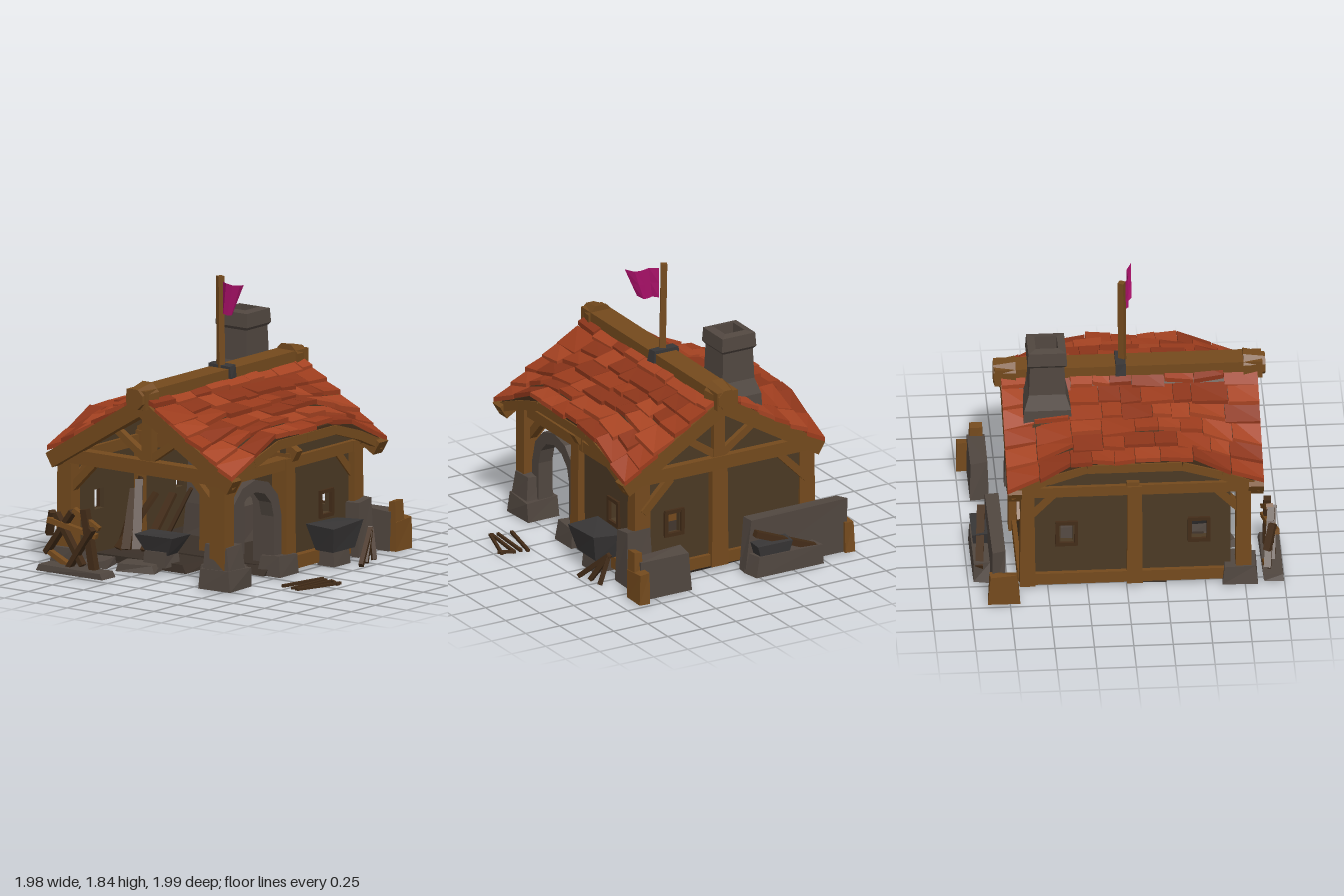
import * as THREE from 'three';

const mat = (color) => new THREE.MeshStandardMaterial({ color, flatShading: true, side: THREE.DoubleSide });
const M = {
  wood: mat(0x744a1d), darkWood: mat(0x432c18), wall: mat(0x4b3924), stone: mat(0x514740),
  iron: mat(0x383636), floor: mat(0x3a3028), flag: mat(0xa81068),
  tiles: [mat(0x9c3c1d), mat(0x8c351a), mat(0xa64322)],
};
let seed = 7;
const rnd = () => ((seed = (seed * 16807) % 2147483647) / 2147483647);
const RIDGE = -0.1;

export function createModel() {
  const root = new THREE.Group();
  const add = (name, geo, material, parent = root) => {
    const m = new THREE.Mesh(geo, material);
    m.name = name;
    parent.add(m);
    return m;
  };
  const group = (name) => {
    const g = new THREE.Group();
    g.name = name;
    root.add(g);
    return g;
  };
  // moves every vertex by a rule
  const warp = (geo, fn) => {
    const p = geo.attributes.position;
    for (let i = 0; i < p.count; i++) p.setXYZ(i, ...fn(p.getX(i), p.getY(i), p.getZ(i)));
    geo.computeVertexNormals();
    return geo;
  };
  // hand-hewn block standing at height y, with its top scaled by taper
  const block = (name, x, y, z, w, h, d, material, taper = 0.9, parent = root, rot = 0) => {
    const off = Array.from({ length: 24 }, () => (rnd() - 0.5) * 0.12);
    const geo = warp(new THREE.BoxGeometry(1, 1, 1), (a, b, c) => {
      const k = ((a > 0 ? 4 : 0) + (b > 0 ? 2 : 0) + (c > 0 ? 1 : 0)) * 3, t = b > 0 ? taper : 1;
      return [(a * t + off[k] * 0.6) * w, (b + 0.5 + (b > 0 ? off[k + 1] : 0)) * h, (c * t + off[k + 2] * 0.6) * d];
    });
    const m = add(name, geo, material, parent);
    m.position.set(x, y, z);
    m.rotation.y = rot;
    return m;
  };
  // squared timber between two points
  const beam = (name, a, b, w, h, material = M.wood, parent = root) => {
    const A = new THREE.Vector3(...a), B = new THREE.Vector3(...b);
    const t = 0.82 + rnd() * 0.25;
    const geo = warp(new THREE.BoxGeometry(w, h, A.distanceTo(B)), (x, y, z) => (z > 0 ? [x * t, y * t, z] : [x, y, z]));
    const m = add(name, geo, material, parent);
    m.position.copy(A).add(B).multiplyScalar(0.5);
    m.lookAt(B);
    return m;
  };
  // flat panel with holes; side panels take z as their first coordinate
  const panel = (name, pts, holes, thick, pos, side, material = M.wall) => {
    const s = new THREE.Shape(pts.map((p) => new THREE.Vector2(...p)));
    holes.forEach((h) => s.holes.push(new THREE.Path(h.map((p) => new THREE.Vector2(...p)))));
    const geo = new THREE.ExtrudeGeometry(s, { depth: thick, bevelEnabled: false });
    if (side) geo.rotateY(-Math.PI / 2);
    add(name, geo, material).position.set(...pos);
  };
  const rect = (x, y, w, h) => [[x, y], [x, y + h], [x + w, y + h], [x + w, y]];
  const arc = (c, y, r, n = 6) => Array.from({ length: n + 1 }, (_, i) => [c + r * Math.cos((Math.PI * i) / n), y + r * Math.sin((Math.PI * i) / n)]);
  const arch = (name, c, y, ro, ri, thick, pos, side) =>
    panel(name, [[c + ro, 0], ...arc(c, y, ro), [c - ro, 0], [c - ri, 0], ...arc(c, y, ri).reverse(), [c + ri, 0]], [], thick, pos, side, M.stone);

  // roof surface: eaves hang low at the gables and lift in the middle
  const roofPoint = (side, s, z, up) => {
    const t = Math.min(1, Math.max(0, (Math.abs(z - 0.05) - 0.38) / 0.4));
    return [RIDGE + side * s * 0.73, 1.2 - (0.265 + 0.195 * t) * Math.pow(s, 0.66 + 0.34 * t) + up, z];
  };
  const roof = group('roof');
  for (const side of [1, -1]) {
    add('roofDeck', warp(new THREE.BoxGeometry(1, 1, 1, 6, 1, 12), (a, b, c) =>
      roofPoint(side, Math.max(0, a + 0.5) * 0.97, 0.055 + c * side * 1.58, b * 0.05 - 0.035)), M.darkWood, roof);
    const rows = 6, cols = 9;
    for (let r = 0; r < rows; r++) {
      let z0 = -0.76;
      const widths = Array.from({ length: cols }, () => 0.6 + rnd() * 0.8);
      const total = widths.reduce((p, q) => p + q);
      widths.forEach((wd) => {
        const dz = (wd / total) * 1.63, zc = z0 + dz / 2, lift = 0.006 + rnd() * 0.024, tilt = (rnd() - 0.5) * 0.04;
        const s1 = (r + 1.1 + (rnd() - 0.5) * 0.4) / rows, s0 = r / rows;
        z0 += dz;
        add('roofTile', warp(new THREE.BoxGeometry(1, 1, 1), (a, b, c) =>
          roofPoint(side, a > 0 ? Math.min(s1, 1.01) + c * side * tilt : s0, zc + c * side * dz * 0.98,
            (a > 0 ? lift + c * tilt * 0.6 : -0.005) + b * 0.03)), M.tiles[Math.floor(rnd() * 3)], roof);
      });
    }
    // eave timbers following the lifted edge, and gable boards
    const zs = [-0.74, -0.5, -0.25, 0.05, 0.35, 0.6, 0.85];
    for (let i = 0; i < 6; i++) beam('eaveTimber', roofPoint(side, 0.95, zs[i], -0.06), roofPoint(side, 0.95, zs[i + 1], -0.06), 0.05, 0.06, M.wood, roof);
    for (const z of [-0.71, 0.82]) beam('gableBoard', [RIDGE, 1.125, z], [RIDGE + side * 0.72, 0.69, z], 0.1, 0.105, M.wood, roof);
  }

  // ridge beam with heavy ends
  beam('ridgeBeam', [RIDGE, 1.18, -0.8], [RIDGE, 1.18, 0.9], 0.15, 0.12, M.wood, roof);
  for (const z of [-0.735, 0.85]) {
    const e = add('ridgeEnd', new THREE.CylinderGeometry(0.07, 0.1, 0.14, 8).rotateY(Math.PI / 8), M.wood, roof);
    e.rotation.x = z > 0 ? Math.PI / 2 : -Math.PI / 2;
    e.position.set(RIDGE, 1.185, z);
  }

  // chimney
  const chimney = add('chimney', new THREE.LatheGeometry([[0.22, 0.95], [0.21, 1.1], [0.165, 1.2], [0.155, 1.4], [0.178, 1.42], [0.17, 1.51], [0.1, 1.52], [0.09, 1.25], [0, 1.25]]
    .map((p) => new THREE.Vector2(...p)), 4, Math.PI / 4), M.stone);
  chimney.position.set(-0.3, 0, -0.48);

  // flag and pole
  block('poleSaddle', RIDGE, 1.18, 0, 0.19, 0.08, 0.07, M.iron);
  beam('flagPole', [RIDGE, 1.2, 0.015], [RIDGE - 0.01, 1.83, 0.01], 0.04, 0.04);
  add('flag', warp(new THREE.PlaneGeometry(1, 1, 4, 2), (a, b) => {
    const u = a + 0.5;
    return [-0.08 + u * (0.17 + b * 0.09), 1.7 + b * 0.2 + u * 0.015 * Math.cos(u * 6), 0.02 + u * 0.07 + 0.02 * Math.sin(u * 6)];
  }), M.flag);

  // walls
  panel('backWall', [[-0.76, 0.03], [0.46, 0.03], [0.5, 0.78], [RIDGE, 1.14], [-0.78, 0.74]], [rect(0.17, 0.29, 0.09, 0.15)], 0.04, [0, 0, -0.66], false);
  panel('rightWall', [[-0.66, 0.03], [0.66, 0.03], [0.66, 0.76], [0.45, 0.88], [-0.35, 0.88], [-0.66, 0.76]], [rect(-0.42, 0.32, 0.08, 0.13), rect(0.41, 0.32, 0.1, 0.13)], 0.04, [-0.73, 0, 0], true);
  panel('leftWall', [[-0.66, 0.03], [0.08, 0.03], [0.08, 0.9], [-0.35, 0.9], [-0.66, 0.78]], [rect(-0.39, 0.31, 0.1, 0.13)], 0.04, [0.46, 0, 0], true);
  panel('innerWall', [[-0.1, 0.03], [0.04, 0.03], [0.06, 0.45], [0.18, 0.54], [0.28, 0.45], [0.3, 0.03], [0.44, 0.03], [0.44, 0.72], [-0.1, 0.72]], [], 0.04, [0, 0, 0.04], false);
  arch('innerArch', 0.18, 0.42, 0.15, 0.08, 0.12, [0, 0, 0.03], false);
  arch('sideArch', 0.4, 0.38, 0.27, 0.19, 0.1, [0.47, 0, 0], true);

  // window frames
  const frame = (p, side) => {
    for (const t of [-0.06, 0.06]) {
      const at = (u, v) => (side ? [p[0], p[1] + v, p[2] + u] : [p[0] + u, p[1] + v, p[2]]);
      beam('windowFrame', at(t, -0.08), at(t, 0.08), 0.025, 0.025, M.darkWood);
      beam('windowFrame', at(-0.07, t * 1.3), at(0.07, t * 1.3), 0.025, 0.025, M.darkWood);
    }
  };
  frame([0.215, 0.365, -0.665], false);
  frame([0.465, 0.375, -0.34], true);
  frame([-0.775, 0.385, -0.38], true);
  frame([-0.775, 0.385, 0.46], true);

  // posts, stone footings and braces
  const posts = [[0.46, 0.74], [0.45, 0.08], [0.45, -0.63], [-0.76, 0.74], [-0.76, -0.63], [-0.76, 0.05], [-0.1, -0.66], [-0.14, 0.06]];
  posts.forEach(([x, z]) => beam('post', [x, 0.02, z], [x, 0.74, z], 0.12, 0.1));
  block('postFooting', 0.45, 0, 0.69, 0.24, 0.13, 0.24, M.stone, 0.95);
  block('postFooting', 0.45, 0.12, 0.7, 0.2, 0.16, 0.19, M.stone, 0.85);
  block('postFooting', 0.46, 0, 0.15, 0.17, 0.13, 0.2, M.stone);
  block('postFooting', 0.48, 0, -0.62, 0.2, 0.36, 0.16, M.stone, 0.8);
  block('postFooting', -0.74, 0, 0.72, 0.2, 0.13, 0.22, M.stone);
  for (const x of [-0.75, 0.45]) {
    beam('wallPlate', [x, 0.705, -0.68], [x, 0.705, 0.8], 0.09, 0.07);
    const inward = x < 0 ? 1 : -1;
    for (const z of [0.74, -0.67]) beam('cornerBrace', [x, 0.48, z], [x + inward * 0.2, 0.68, z], 0.05, 0.05);
    for (const [z, d] of [[0.74, -0.18], [-0.63, 0.18]]) beam('sideBrace', [x, 0.5, z], [x, 0.69, z + d], 0.05, 0.05);
  }
  // gable trusses
  for (const z of [-0.67, 0.04, 0.76]) {
    beam('tieBeam', [-0.8, 0.72, z], [0.5, 0.72, z], 0.08, 0.09);
    beam('kingPost', [RIDGE, 0.74, z], [RIDGE, 1.13, z], 0.08, 0.06);
    for (const s of [1, -1]) {
      beam('rafter', [RIDGE, 1.11, z], [RIDGE + s * 0.63, 0.75, z], 0.06, 0.08);
      beam('strut', [RIDGE + s * 0.03, 0.78, z], [RIDGE + s * 0.28, 0.95, z], 0.05, 0.05);
    }
  }
  beam('wallSill', [0.48, 0.06, -0.65], [0.48, 0.06, 0.05], 0.06, 0.08);
  beam('wallSill', [-0.77, 0.06, -0.65], [-0.77, 0.06, 0.65], 0.06, 0.08);
  beam('wallSill', [-0.75, 0.06, -0.66], [0.45, 0.06, -0.66], 0.06, 0.08);

  // floor slabs
  block('floor', -0.15, 0, -0.2, 1.2, 0.06, 0.92, M.floor, 1);
  block('frontFloor', -0.35, 0, 0.34, 0.72, 0.05, 0.38, M.floor, 0.96);
  for (const [x, z, w] of [[-0.62, 0.64, 0.22], [-0.3, 0.6, 0.26], [0.15, 0.28, 0.3]]) block('flagstone', x, 0, z, w, 0.05, 0.18, M.stone, 0.9, root, w);

  // forge and anvil
  block('forge', -0.35, 0.05, -0.42, 0.5, 0.24, 0.4, M.stone, 0.9);
  block('forgeSide', -0.5, 0.27, -0.42, 0.1, 0.3, 0.38, M.stone, 0.95);
  block('forgeHood', -0.33, 0.5, -0.45, 0.46, 0.5, 0.38, M.wall, 0.6);
  block('anvilStump', -0.2, 0.03, 0.5, 0.18, 0.1, 0.15, M.stone);
  block('anvil', -0.2, 0.11, 0.5, 0.18, 0.12, 0.11, M.iron, 1.7);
  // stacked planks inside
  for (let i = 0; i < 6; i++) beam('loosePlank', [-0.7 + i * 0.06, 0.06, 0.12 + rnd() * 0.3], [-0.66 + i * 0.06 + (rnd() - 0.5) * 0.3, 0.35 + rnd() * 0.2, 0.05 + rnd() * 0.2], 0.06, 0.025, M.darkWood);

  // broken timber frame at the front
  const crate = group('brokenFrame');
  block('frameBase', -0.56, 0, 0.93, 0.5, 0.04, 0.13, M.stone, 0.95, crate);
  [[-0.82, 0.1, -0.58, 0.4], [-0.58, 0.41, -0.4, 0.3], [-0.41, 0.31, -0.62, 0.02], [-0.63, 0.03, -0.82, 0.12], [-0.72, 0.37, -0.5, 0.06], [-0.76, 0.33, -0.42, 0.25], [-0.8, 0.22, -0.74, 0.38]]
    .forEach(([x, y, u, v], i) => beam('framePlank', [x, y, 0.89 + (i % 3) * 0.03], [u, v, 0.93 - (i % 2) * 0.04], 0.045, 0.035, i % 2 ? M.wood : M.darkWood, crate));
  beam('frameStake', [-0.42, 0, 0.91], [-0.5, 0.42, 0.91], 0.05, 0.05, M.darkWood, crate);

  // trough and splintered stakes beside the left wall
  block('troughFoot', 0.56, 0, -0.3, 0.13, 0.12, 0.18, M.stone);
  block('trough', 0.57, 0.1, -0.3, 0.15, 0.17, 0.22, M.iron, 1.45);
  [[0.73, -0.36], [0.7, -0.45], [0.69, -0.55]].forEach(([x, z]) => beam('stake', [x, 0, z], [0.64, 0.2, -0.58], 0.03, 0.03, M.darkWood));

  // low walls behind the building
  block('lowWall', -0.58, 0, -0.82, 0.74, 0.36, 0.09, M.stone, 0.95);
  block('wallStone', -0.46, 0, -0.91, 0.52, 0.13, 0.12, M.stone, 0.9);
  block('backTrough', -0.36, 0.1, -0.9, 0.2, 0.11, 0.1, M.iron, 1.25);
  beam('leaningPole', [-0.7, 0.1, -0.93], [-0.25, 0.27, -0.89], 0.05, 0.04, M.darkWood);
  block('wallPost', -0.95, 0, -0.79, 0.07, 0.2, 0.2, M.wood);
  block('lowWall', 0.43, 0, -0.87, 0.38, 0.27, 0.12, M.stone, 0.95);
  block('wallPost', 0.62, 0, -0.91, 0.07, 0.2, 0.17, M.wood, 0.95);
  block('wallPost', 0.62, 0.18, -0.87, 0.06, 0.14, 0.09, M.wood, 0.9);

  // sticks on the ground
  const sticks = group('groundSticks');
  [[0.81, 0.14, 0.74, 0.47], [0.85, 0.16, 0.83, 0.49], [0.9, 0.16, 0.87, 0.5], [0.98, 0.18, 0.88, 0.5], [0.9, 0.17, 0.99, 0.22]]
    .forEach(([x, z, u, v]) => beam('stick', [x, 0.012, z], [u, 0.01, v], 0.02, 0.018, M.darkWood, sticks));

  return root;
}
